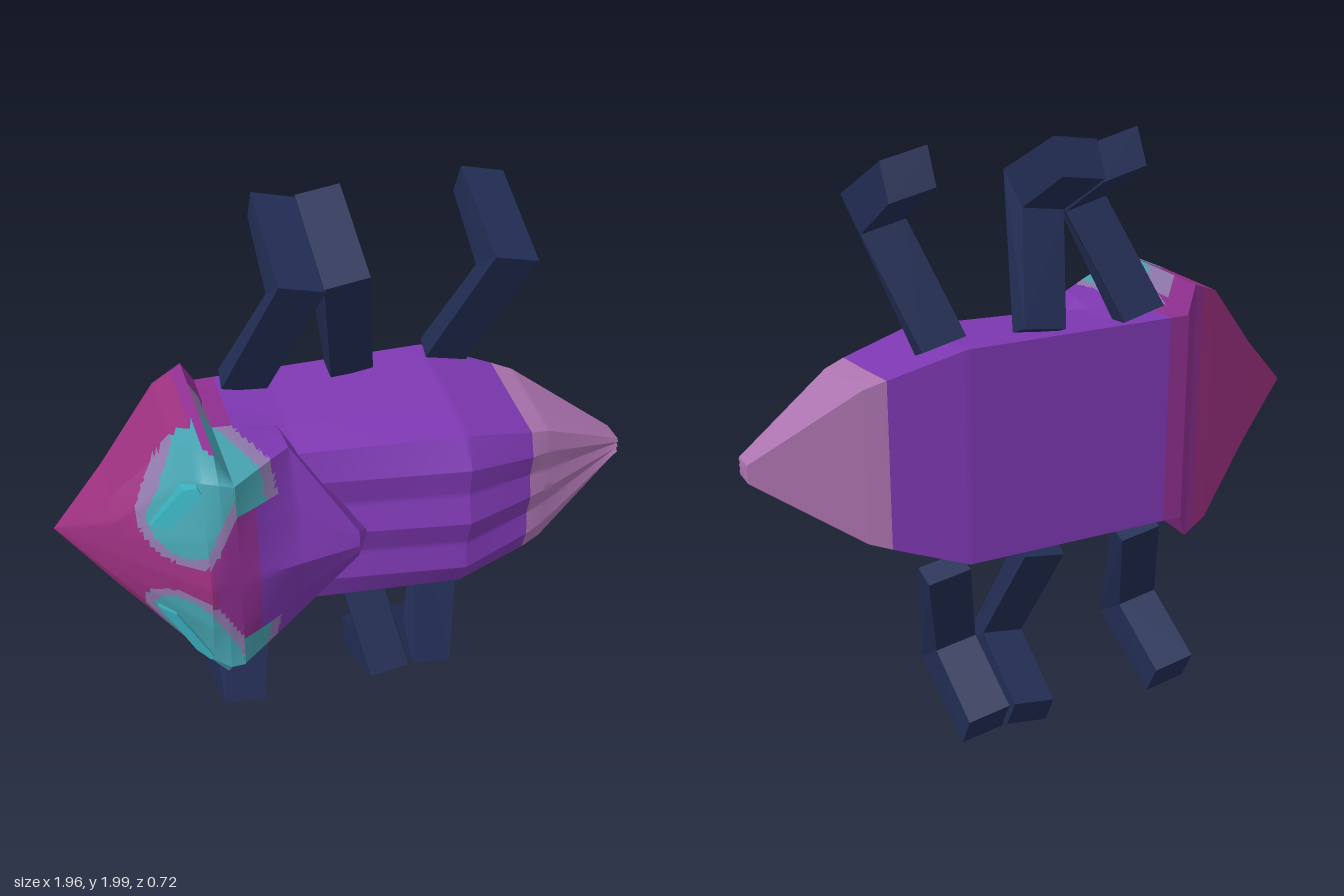
import * as THREE from 'three';
import { toCreasedNormals } from 'three/addons/utils/BufferGeometryUtils.js';

const MID = 1.0; // height of the mirror plane

function makeMaterial(name, color) {
  const m = new THREE.MeshStandardMaterial({ color });
  m.name = name;
  return m;
}

// Skins mirrored cross-sections [x, [[halfWidth, z], ...bottom to top]] and
// sorts the small faces into material groups with pick(x, |y|, z).
function loft(name, sections, pick, materials) {
  const full = sections.map(([x, half]) => {
    const ring = [...half, ...half.slice(1, -1).reverse().map(([y, z]) => [-y, z])];
    return ring.map(([y, z]) => new THREE.Vector3(x, y, z));
  });
  const fine = 8;
  const rings = [];
  full.forEach((ring, s) => {
    const next = full[s + 1];
    const steps = next ? Math.max(1, Math.ceil((next[0].x - ring[0].x) / 0.014)) : 1;
    for (let k = 0; k < steps; k++) {
      const row = ring.map((p, i) => (next ? p.clone().lerp(next[i], k / steps) : p));
      const out = [];
      row.forEach((p, i) => {
        const q = row[(i + 1) % row.length];
        for (let j = 0; j < fine; j++) out.push(p.clone().lerp(q, j / fine));
      });
      rings.push(out);
    }
  });
  const buckets = materials.map(() => []);
  const addFace = (a, b, c) => {
    const area = b.clone().sub(a).cross(c.clone().sub(a)).length();
    if (area < 1e-9) return;
    const m = a.clone().add(b).add(c).divideScalar(3);
    buckets[pick(m.x, Math.abs(m.y), m.z)].push(...a.toArray(), ...b.toArray(), ...c.toArray());
  };
  for (let s = 0; s + 1 < rings.length; s++) {
    const a = rings[s], b = rings[s + 1];
    for (let i = 0; i < a.length; i++) {
      const j = (i + 1) % a.length;
      addFace(a[i], a[j], b[i]);
      addFace(a[j], b[j], b[i]);
    }
  }
  const geo = new THREE.BufferGeometry();
  geo.setAttribute('position', new THREE.Float32BufferAttribute(buckets.flat(), 3));
  let start = 0;
  buckets.forEach((b, i) => {
    if (b.length) geo.addGroup(start, b.length / 3, i);
    start += b.length / 3;
  });
  const mesh = new THREE.Mesh(toCreasedNormals(geo, 0.4), materials);
  mesh.name = name;
  mesh.position.y = MID + 0.01;
  return mesh;
}

function polygon(points) {
  return new THREE.Shape(points.map(([x, y]) => new THREE.Vector2(x, y)));
}

function moveVertices(geo, rule) {
  const p = geo.attributes.position;
  for (let i = 0; i < p.count; i++) p.setXYZ(i, ...rule(p.getX(i), p.getY(i), p.getZ(i)));
  geo.computeVertexNormals();
  return geo;
}

// Bent leg: thigh leans along x by `lean`, shin folds back under the body
function makeLeg(name, rootX, lean, side, material) {
  const width = 0.145;
  const profile = polygon([
    [0.186, 0.36], [0.26, 0.39], [0.105, 0.73], [0.355, 0.87], [0.297, 0.98], [-0.037, 0.825],
  ]);
  const geo = new THREE.ExtrudeGeometry(profile, { depth: width, bevelEnabled: false });
  geo.rotateY(Math.PI / 2);
  moveVertices(geo, (x, y, z) => {
    const dx = x - width / 2;
    const t = Math.min(1, Math.max(0, (y - 0.37) / 0.38));
    return [rootX + dx + lean * t, y - dx * lean * 1.7, z];
  });
  const leg = new THREE.Mesh(geo, material);
  leg.name = name;
  leg.scale.y = side;
  leg.position.y = MID;
  return leg;
}

export function createModel() {
  const group = new THREE.Group();
  const purple = makeMaterial('purple shell', 0x7e38b2);
  const plum = makeMaterial('plum collar', 0x8f2f90);
  const magenta = makeMaterial('magenta head', 0x9c307f);
  const pink = makeMaterial('pale pink tail', 0xad74b0);
  const teal = makeMaterial('teal patch', 0x46a3b0);
  const lilac = makeMaterial('lilac patch rim', 0x8f78ac);
  const eyeTeal = makeMaterial('bright teal eye', 0x38aebb);
  const navy = makeMaterial('navy leg', 0x222d54);
  const skins = [purple, plum, magenta, pink, teal, lilac];

  // Abdomen with a ribbed back and tapering tail
  const abdomen = [
    [-0.46, [[0, -0.28], [0.36, -0.28], [0.355, 0], [0.34, 0.1], [0.2, 0.13], [0.1, 0.12], [0, 0.14]]],
    [-0.39, [[0, -0.28], [0.36, -0.28], [0.35, 0], [0.33, 0.11], [0.2, 0.14], [0.1, 0.13], [0, 0.15]]],
    [-0.22, [[0, -0.28], [0.36, -0.28], [0.33, 0], [0.3, 0.14], [0.2, 0.17], [0.1, 0.155], [0, 0.18]]],
    [0.33, [[0, -0.28], [0.36, -0.28], [0.33, 0], [0.3, 0.2], [0.2, 0.255], [0.1, 0.245], [0, 0.275]]],
    [0.57, [[0, -0.22], [0.28, -0.22], [0.255, 0], [0.24, 0.16], [0.16, 0.19], [0.08, 0.175], [0, 0.195]]],
    [0.64, [[0, -0.2], [0.255, -0.2], [0.235, 0], [0.22, 0.14], [0.15, 0.16], [0.07, 0.15], [0, 0.165]]],
    [0.975, [[0, -0.08], [0.03, -0.08], [0.03, -0.03], [0.03, 0], [0.02, 0.01], [0.01, 0], [0, 0.01]]],
    [0.98, Array(7).fill([0, -0.035])],
  ];
  group.add(loft('abdomen', abdomen, (x) => (x > 0.57 ? 3 : x < -0.39 ? 1 : 0), skins));

  // Shoulder shield ending in a raised point over the back
  const shield = [
    [-0.46, [[0, 0], [0.355, 0], [0.36, 0.2], [0.36, 0.335], [0.18, 0.34], [0, 0.345]]],
    [-0.39, [[0, 0], [0.35, 0], [0.36, 0.17], [0.36, 0.28], [0.18, 0.315], [0, 0.335]]],
    [-0.25, [[0, 0], [0.33, 0], [0.35, 0.1], [0.355, 0.17], [0.18, 0.25], [0, 0.31]]],
    [-0.05, [[0, 0], [0.05, 0], [0.07, 0.16], [0.05, 0.265], [0.025, 0.275], [0, 0.28]]],
    [0, Array(6).fill([0, 0.2])],
  ];
  const shieldColor = (x, y, z) => {
    if (y > 0.25 && z > 0) {
      const reach = -0.46 + Math.max(0, z + 0.05) * 0.33;
      if (x < reach) return 4;
      if (x < reach + 0.05) return 5;
    }
    return x < -0.39 ? 1 : 0;
  };
  group.add(loft('shoulderShield', shield, shieldColor, skins));

  // Wedge-shaped head with a flared hood
  const head = [
    [-0.98, Array(6).fill([0, -0.09])],
    [-0.8, [[0, -0.15], [0.18, -0.15], [0.18, 0.04], [0.12, 0.09], [0.06, 0.1], [0, 0.105]]],
    [-0.6, [[0, -0.22], [0.41, -0.22], [0.41, 0.12], [0.33, 0.22], [0.16, 0.29], [0, 0.31]]],
    [-0.55, [[0, -0.235], [0.43, -0.235], [0.43, 0.2], [0.36, 0.285], [0.18, 0.335], [0, 0.36]]],
    [-0.5, [[0, -0.25], [0.45, -0.25], [0.45, 0.26], [0.37, 0.325], [0.18, 0.345], [0, 0.352]]],
    [-0.455, [[0, -0.28], [0.36, -0.28], [0.36, 0.25], [0.36, 0.335], [0.18, 0.34], [0, 0.345]]],
  ];
  const patch = new THREE.Line3(new THREE.Vector3(-0.62, 0.17, 0), new THREE.Vector3(-0.5, 0.42, 0));
  const nearest = new THREE.Vector3();
  const headColor = (x, y, z) => {
    if (x > -0.5 && y > 0.355) return z > 0.03 ? 4 : z > -0.12 ? 5 : 1;
    const p = new THREE.Vector3(x, y, 0);
    const d = patch.closestPointToPoint(p, true, nearest).distanceTo(p);
    if (z > 0.08 && y < 0.44) {
      if (d < 0.085) return 4;
      if (d < 0.115) return 5;
    }
    return x > -0.54 ? 1 : 2;
  };
  group.add(loft('head', head, headColor, skins));

  // Slanted eye plates following the face, and the six legs
  for (const side of [1, -1]) {
    const half = side > 0 ? 'upper' : 'lower';
    const shape = polygon([[-0.7, 0.165], [-0.65, 0.175], [-0.55, 0.33], [-0.56, 0.35], [-0.6, 0.325]]);
    const eyeGeo = new THREE.ExtrudeGeometry(shape, { depth: 0.045, bevelEnabled: false });
    moveVertices(eyeGeo, (x, y, z) => [x, y, z + 0.23 + 0.95 * (x + 0.6) - 0.2 * (y - 0.25)]);
    const eye = new THREE.Mesh(eyeGeo, eyeTeal);
    eye.name = half + 'Eye';
    eye.scale.y = side;
    eye.position.y = MID + 0.01;
    group.add(eye);

    const legs = side > 0
      ? [[-0.31, 0.15], [0.06, -0.08], [0.39, 0.135]]
      : [[-0.31, -0.1], [0.05, 0.09], [0.4, -0.095]];
    legs.forEach(([x, lean], i) => {
      group.add(makeLeg(half + ['Front', 'Middle', 'Rear'][i] + 'Leg', x, lean, side, navy));
    });
  }
  return group;
}
